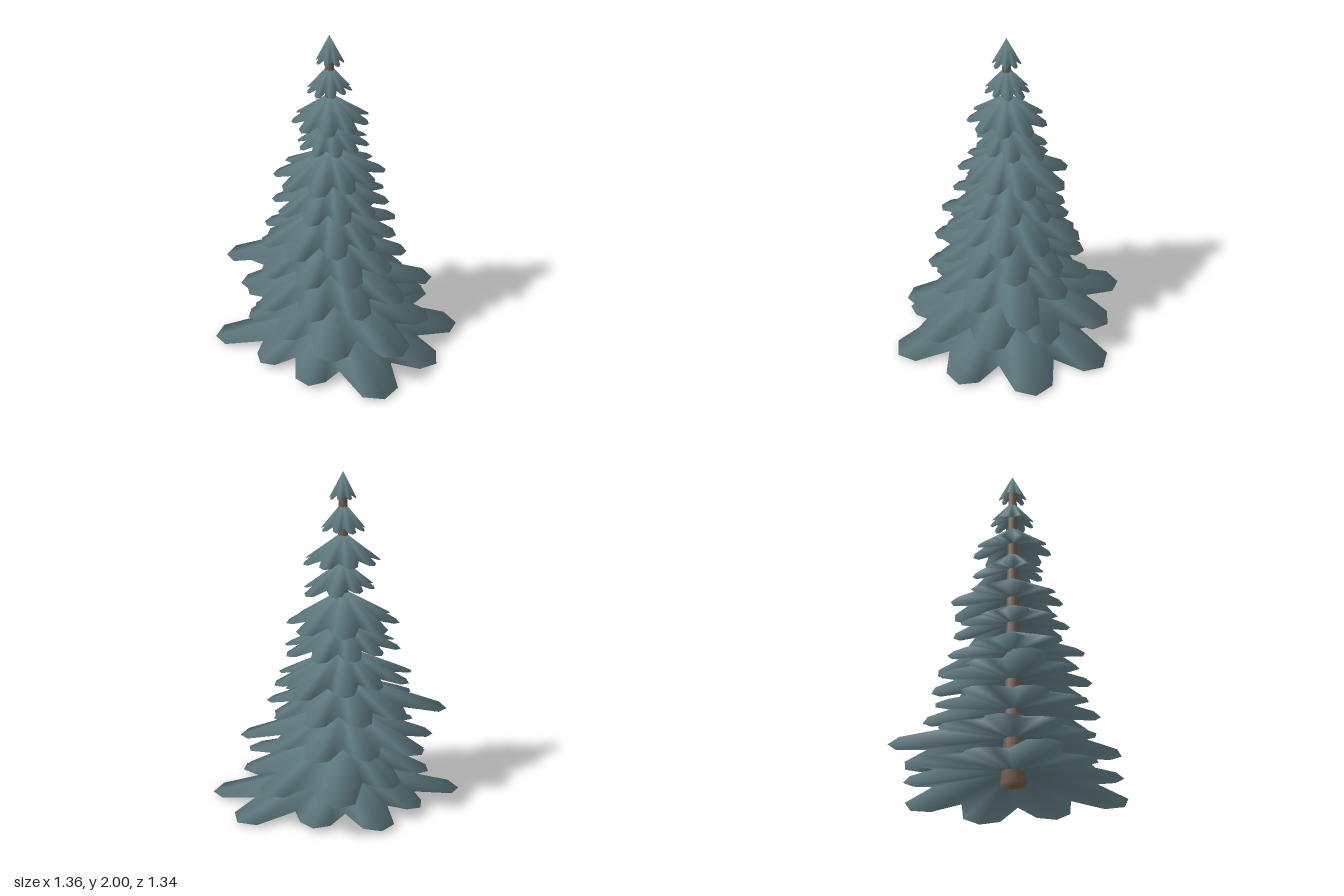
import * as THREE from 'three';

// Trunk axis in plan; the crown is lopsided, so it is off centre
const AXIS_X = -0.1;
const AXIS_Z = -0.06;

// One tier of boughs per row, bottom to top. Lobe lengths run from +x towards +z;
// phase is the angle of the first lobe in degrees.
const TIERS = [
  { apex: 0.215, tip: 0.01, phase: 3, lobes: [0.78, 0.79, 0.735, 0.78, 0.62, 0.57, 0.72, 0.56, 0.66, 0.62] },
  { apex: 0.42, tip: 0.2, phase: 26, lobes: [0.6, 0.62, 0.7, 0.63, 0.51, 0.53, 0.55, 0.55, 0.71, 0.7] },
  { apex: 0.595, tip: 0.375, phase: 5, lobes: [0.48, 0.62, 0.51, 0.5, 0.5, 0.53, 0.55, 0.575, 0.5, 0.52] },
  { apex: 0.78, tip: 0.565, phase: 9, lobes: [0.465, 0.46, 0.44, 0.45, 0.46, 0.49, 0.63, 0.47, 0.46, 0.48] },
  { apex: 0.95, tip: 0.735, phase: 21, lobes: [0.43, 0.4, 0.37, 0.38, 0.44, 0.45, 0.41, 0.35, 0.39, 0.475] },
  { apex: 1.125, tip: 0.935, phase: 12, lobes: [0.375, 0.35, 0.33, 0.32, 0.34, 0.355, 0.35, 0.31, 0.33, 0.36] },
  { apex: 1.3, tip: 1.095, phase: 30, lobes: [0.34, 0.29, 0.28, 0.3, 0.33, 0.34, 0.36, 0.375, 0.385] },
  { apex: 1.475, tip: 1.295, phase: 2, lobes: [0.275, 0.23, 0.2, 0.19, 0.19, 0.19, 0.2, 0.2, 0.24] },
  { apex: 1.645, tip: 1.465, phase: 18, lobes: [0.25, 0.23, 0.235, 0.235, 0.235, 0.225, 0.23, 0.23, 0.245] },
  { apex: 1.825, tip: 1.655, phase: 8, lobes: [0.14, 0.13, 0.12, 0.13, 0.135, 0.135, 0.14, 0.145, 0.135] },
  { apex: 2.0, tip: 1.835, phase: 10, lobes: [0.085, 0.085, 0.09, 0.085, 0.085, 0.08, 0.08, 0.085] },
];

// Scalloped rim: notch, shoulder, tip, shoulder for each lobe; longer lobes droop lower
function rimPoints({ apex, tip, phase, lobes }) {
  const step = (Math.PI * 2) / lobes.length;
  const longest = Math.max(...lobes);
  const droop = (length) => 0.6 + (0.4 * length) / longest;
  const points = [];
  lobes.forEach((length, i) => {
    const mean = (length + lobes.at(i - 1)) / 2;
    const corners = [
      [-0.5, 0.71 * mean, 0.84 * droop(mean)],
      [-0.25, 0.935 * length, 0.96 * droop(length)],
      [0, length, droop(length)],
      [0.25, 0.935 * length, 0.96 * droop(length)],
    ];
    for (const [offset, radius, fall] of corners) {
      const a = THREE.MathUtils.degToRad(phase) + (i + offset) * step;
      points.push([Math.cos(a) * radius, apex - (apex - tip) * fall, Math.sin(a) * radius]);
    }
  });
  return points;
}

// Closed bough skirt: upper cone and shallower underside share the rim, so it shades softly
function skirtGeometry(tier) {
  const rim = rimPoints(tier);
  const n = rim.length;
  const hollow = tier.tip + 0.35 * (tier.apex - tier.tip);
  const index = [];
  for (let i = 0; i < n; i++) {
    const a = i;
    const b = (i + 1) % n;
    index.push(n, b, a, n + 1, a, b);
  }
  const geometry = new THREE.BufferGeometry();
  const positions = [...rim.flat(), 0, tier.apex, 0, 0, hollow, 0];
  geometry.setAttribute('position', new THREE.Float32BufferAttribute(positions, 3));
  geometry.setIndex(index);
  geometry.computeVertexNormals();
  return geometry;
}

export function createModel() {
  const needles = new THREE.MeshStandardMaterial({ name: 'blueGreenNeedles', color: 0x67848b });
  const bark = new THREE.MeshStandardMaterial({ name: 'brownBark', color: 0x75604f });

  const tree = new THREE.Group();
  tree.name = 'coniferTree';
  const add = (name, geometry, material) => {
    const mesh = new THREE.Mesh(geometry, material);
    mesh.name = name;
    tree.add(mesh);
  };

  // Tapered trunk with a slight flare at the foot
  const profile = [[0, 0], [0.075, 0], [0.05, 0.35], [0.037, 1.1], [0.025, 1.88]];
  const trunk = new THREE.LatheGeometry(profile.map(([x, y]) => new THREE.Vector2(x, y)), 12);
  add('trunk', trunk, bark);

  // Bough tiers
  TIERS.forEach((tier, i) => add(`boughTier${i + 1}`, skirtGeometry(tier), needles));

  tree.position.set(AXIS_X, 0, AXIS_Z);
  const model = new THREE.Group();
  model.name = 'model';
  model.add(tree);
  return model;
}
